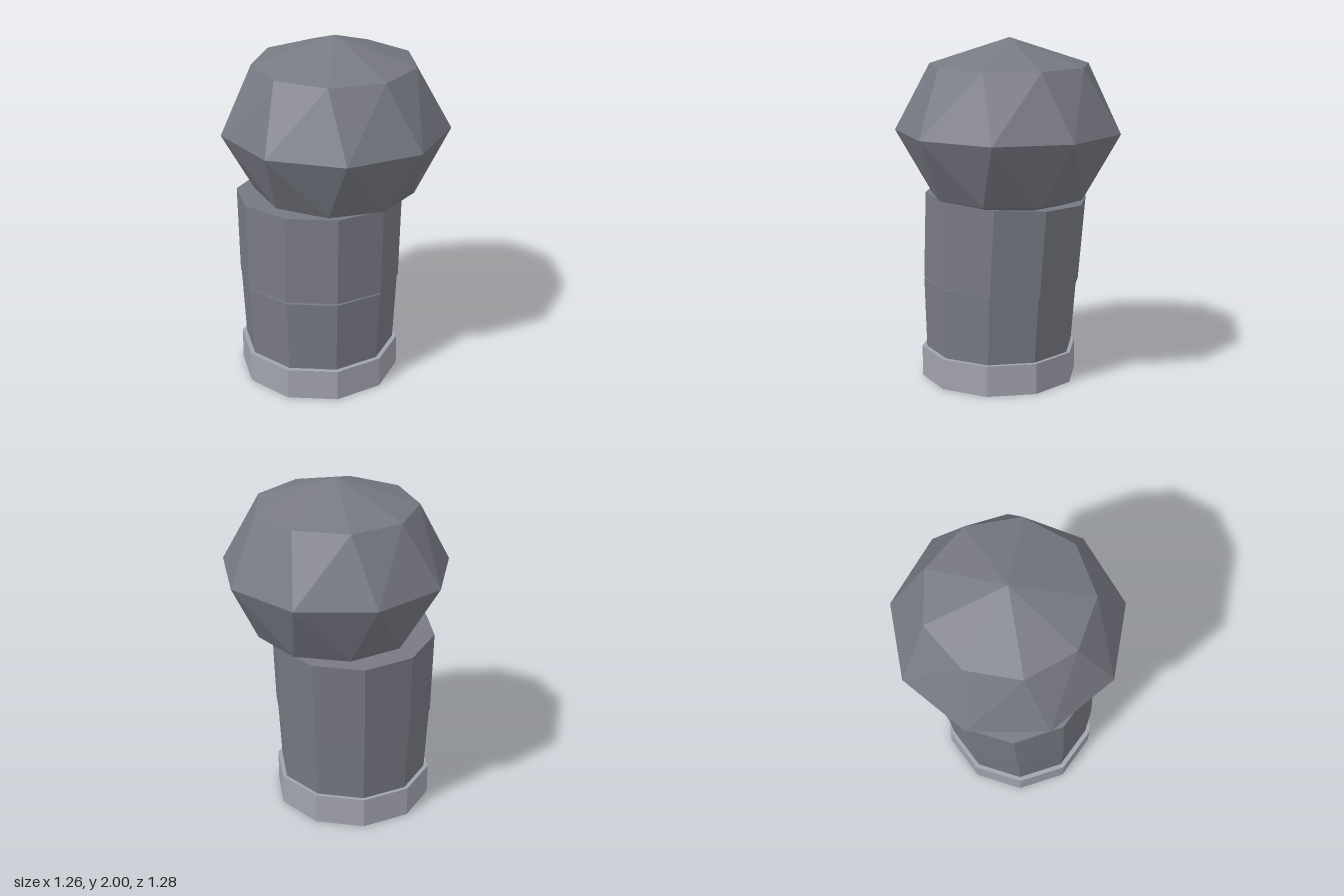
import * as THREE from 'three';
import { ConvexGeometry } from 'three/addons/geometries/ConvexGeometry.js';

export function createModel() {
  const model = new THREE.Group();
  const darkGrey = new THREE.MeshStandardMaterial({ color: 0x777983 });
  const lightGrey = new THREE.MeshStandardMaterial({ color: 0xa0a2ae });
  darkGrey.flatShading = lightGrey.flatShading = true;

  // Ten-sided drum with a corner on +x; its foot is at (x, y, z) and it leans back by tilt
  function drum(name, rTop, rBottom, height, y, z, tilt, material) {
    const geometry = new THREE.CylinderGeometry(rTop, rBottom, height, 10, 1, false, Math.PI / 2);
    geometry.translate(0, height / 2, 0);
    const mesh = new THREE.Mesh(geometry, material);
    mesh.name = name;
    mesh.position.set(-0.11, y, z);
    mesh.rotation.x = -tilt;
    model.add(mesh);
  }

  drum('baseRing', 0.46, 0.46, 0.18, 0, 0.075, 0, lightGrey);
  drum('lowerShaft', 0.456, 0.434, 0.417, 0.168, 0.073, 0.025, darkGrey);
  drum('upperShaft', 0.474, 0.461, 0.503, 0.582, 0.058, 0.056, darkGrey);

  // Nine-sided faceted head: three rings, the outer two twisted by ten degrees, and two tips
  const points = [new THREE.Vector3(0, 0.52, 0), new THREE.Vector3(0, -0.52, 0)];
  for (const [radius, y, twist] of [[0.46, 0.368, 10], [0.65, 0, 0], [0.46, -0.368, 10]]) {
    for (let i = 0; i < 9; i++) {
      const a = THREE.MathUtils.degToRad(i * 40 + twist);
      points.push(new THREE.Vector3(radius * Math.cos(a), y, radius * Math.sin(a)));
    }
  }
  const head = new THREE.Mesh(new ConvexGeometry(points), darkGrey);
  head.name = 'head';
  head.position.set(-0.02, 1.48, 0);
  model.add(head);

  return model;
}
